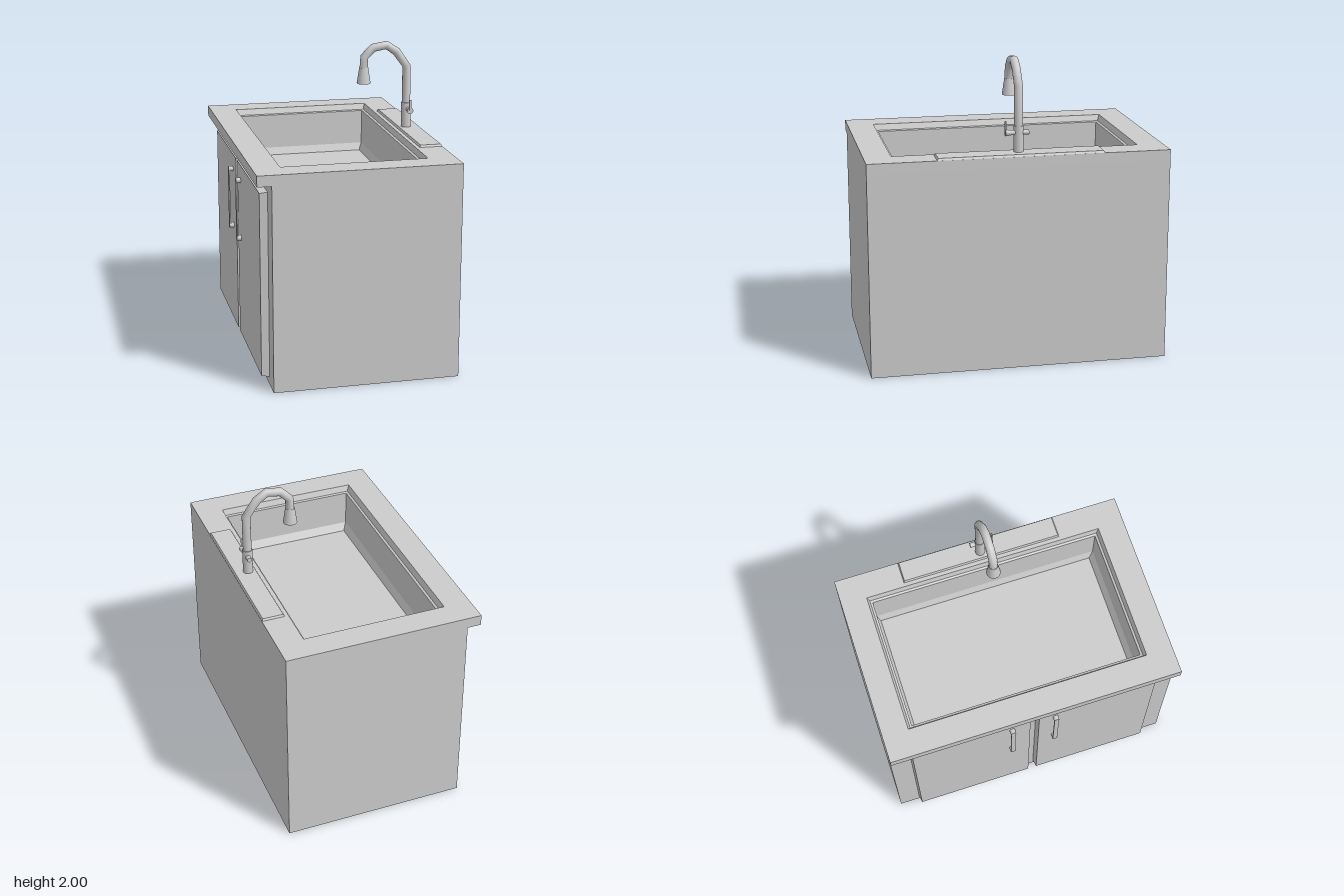
import * as THREE from 'three';

const grey = new THREE.MeshStandardMaterial({ color: 0xcccccc });
const flatGrey = new THREE.MeshStandardMaterial({ color: 0xcccccc, flatShading: true, side: THREE.DoubleSide });

function add(parent, name, geometry, x = 0, y = 0, z = 0, material = grey) {
  const mesh = new THREE.Mesh(geometry, material);
  mesh.name = name;
  mesh.position.set(x, y, z);
  parent.add(mesh);
  return mesh;
}

// Rectangle in plan with a rectangular hole, extruded upwards from y = 0
function rectFrame([x0, x1, z0, z1], [hx0, hx1, hz0, hz1], height) {
  const corners = (a, b, c, d) => [[a, c], [b, c], [b, d], [a, d]].map(([x, z]) => new THREE.Vector2(x, -z));
  const shape = new THREE.Shape(corners(x0, x1, z0, z1));
  shape.holes.push(new THREE.Path(corners(hx0, hx1, hz0, hz1)));
  return new THREE.ExtrudeGeometry(shape, { depth: height, bevelEnabled: false }).rotateX(-Math.PI / 2);
}

// Box whose top face is drawn in by an inset on every side
function taperedBox(w, h, d, inset) {
  const geo = new THREE.BoxGeometry(w, h, d);
  const p = geo.attributes.position;
  for (let i = 0; i < p.count; i++) {
    if (p.getY(i) > 0) {
      p.setX(i, p.getX(i) - Math.sign(p.getX(i)) * inset);
      p.setZ(i, p.getZ(i) - Math.sign(p.getZ(i)) * inset);
    }
  }
  geo.computeVertexNormals();
  return geo;
}

// Open basin from rectangular rings [x0, x1, z0, z1, y], closed by a floor
function basinGeometry(rings) {
  const pos = [];
  const loops = rings.map(([x0, x1, z0, z1, y]) => [[x0, y, z0], [x0, y, z1], [x1, y, z1], [x1, y, z0]]);
  const quad = (a, b, c, d) => pos.push(...a, ...b, ...c, ...a, ...c, ...d);
  for (let r = 0; r < loops.length - 1; r++) {
    for (let i = 0; i < 4; i++) {
      const j = (i + 1) % 4;
      quad(loops[r][i], loops[r][j], loops[r + 1][j], loops[r + 1][i]);
    }
  }
  quad(...loops[loops.length - 1]);
  const geo = new THREE.BufferGeometry();
  geo.setAttribute('position', new THREE.Float32BufferAttribute(pos, 3));
  geo.computeVertexNormals();
  return geo;
}

// Curve whose samples fall exactly on its control points
class SpoutCurve extends THREE.CatmullRomCurve3 {
  getPointAt(u, target) { return this.getPoint(u, target); }
  getTangentAt(u, target) { return this.getTangent(u, target); }
}

export function createModel() {
  const model = new THREE.Group();
  model.name = 'sinkCabinet';

  // Cabinet, countertop and sink
  const opening = [-0.47, 0.465, -0.8, 0.795];
  add(model, 'cabinetWalls', rectFrame([-0.555, 0.64, -0.97, 0.97], [-0.5, 0.5, -0.85, 0.85], 1.33));
  add(model, 'cabinetFloor', new THREE.BoxGeometry(1.1, 0.04, 1.8), 0.04, 0.02, 0);
  add(model, 'countertop', rectFrame([-0.645, 0.64, -0.97, 0.97], opening, 0.07), 0, 1.33, 0);
  add(model, 'basin', basinGeometry([
    [...opening, 1.4],
    [-0.455, 0.455, -0.785, 0.78, 1.36],
    [-0.44, 0.44, -0.77, 0.765, 1.355],
    [-0.435, 0.435, -0.765, 0.76, 1.12],
    [-0.41, 0.415, -0.745, 0.73, 1.07],
  ]), 0, 0, 0, flatGrey);

  // Pair of doors, each with a bar handle near the middle
  for (const [side, zMid, zHandle] of [['right', -0.427, -0.155], ['left', 0.427, 0.14]]) {
    const door = new THREE.Group();
    door.name = side + 'Door';
    model.add(door);
    add(door, 'doorPanel', taperedBox(1.205, 0.05, 0.81, 0.008).rotateZ(Math.PI / 2), -0.58, 0.655, zMid);
    add(door, 'handleBar', new THREE.BoxGeometry(0.008, 0.4, 0.03), -0.632, 0.95, zHandle);
    for (const y of [0.754, 1.148]) {
      add(door, 'handlePost', new THREE.CylinderGeometry(0.018, 0.018, 0.034, 16).rotateZ(Math.PI / 2), -0.619, y, zHandle);
    }
  }

  // Faucet on its deck plate
  const faucet = new THREE.Group();
  faucet.name = 'faucet';
  model.add(faucet);
  const fx = 0.547;
  add(faucet, 'deckPlate', taperedBox(0.15, 0.016, 1.07, 0.008), 0.565, 1.406, -0.005);
  add(faucet, 'faucetBase', new THREE.CylinderGeometry(0.032, 0.032, 0.17, 20), fx, 1.495, 0);
  const path = [[fx, 1.56], [fx, 1.825], [0.475, 1.925], [0.407, 1.97], [0.317, 1.955], [0.258, 1.897], [0.254, 1.82]];
  const spout = new SpoutCurve(path.map(([x, y]) => new THREE.Vector3(x, y, 0)), false, 'catmullrom', 0.5);
  add(faucet, 'spout', new THREE.TubeGeometry(spout, path.length - 1, 0.028, 16));
  add(faucet, 'sprayHead', new THREE.CylinderGeometry(0.03, 0.046, 0.105, 20), 0.254, 1.773, 0);

  // Mixer control through the faucet base
  add(faucet, 'controlStem', new THREE.CylinderGeometry(0.016, 0.016, 0.13, 12).rotateX(Math.PI / 2), 0.553, 1.537, 0);
  add(faucet, 'controlKnob', new THREE.CylinderGeometry(0.022, 0.014, 0.05, 12).rotateX(Math.PI / 2), 0.553, 1.537, 0.06);
  add(faucet, 'controlLever', new THREE.BoxGeometry(0.016, 0.09, 0.008), 0.553, 1.565, 0.084);

  return model;
}
